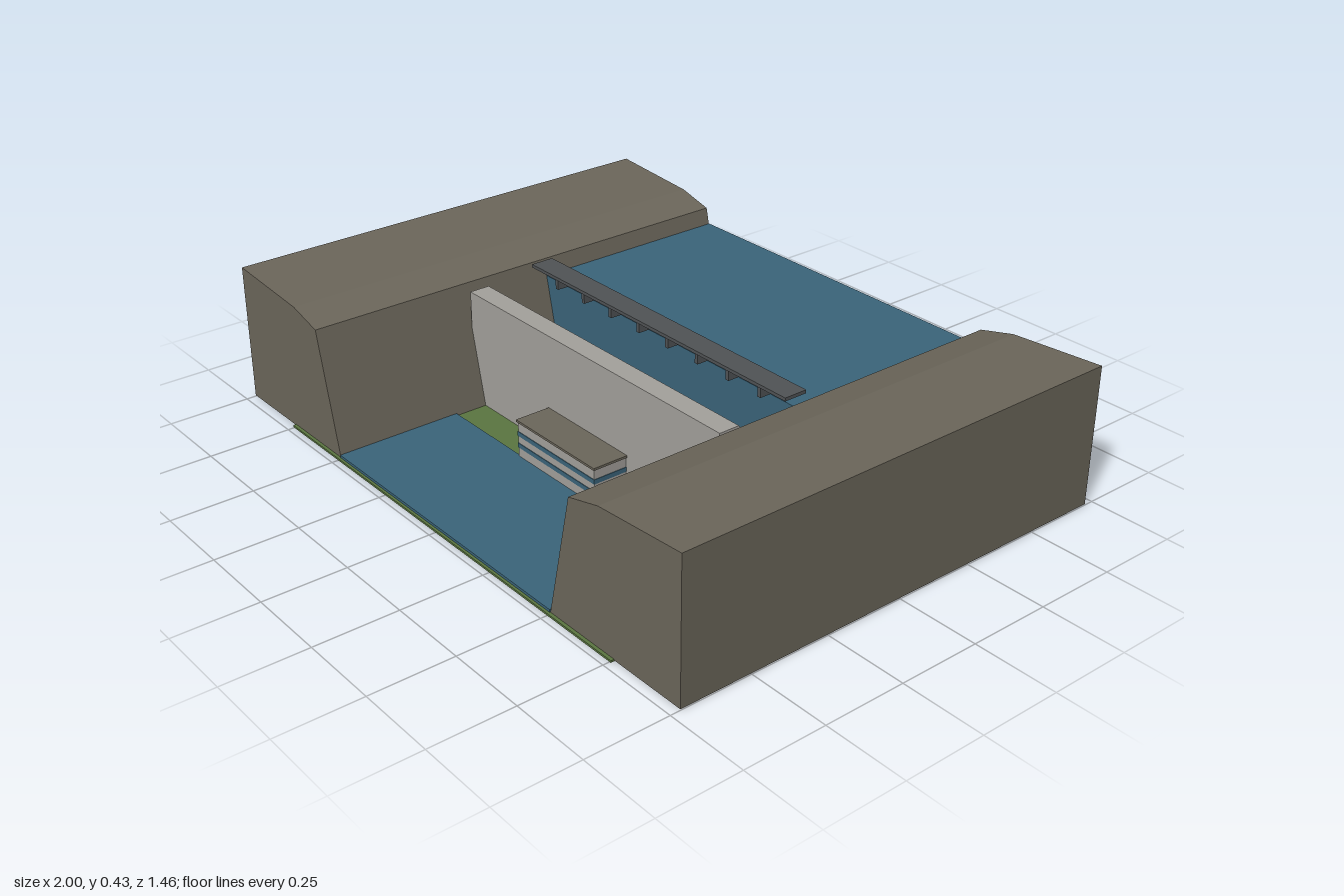
import * as THREE from 'three';

const mat = (name, color) => {
  const m = new THREE.MeshStandardMaterial({ color });
  m.name = name;
  return m;
};

export function createModel() {
  const root = new THREE.Group();
  root.name = 'dam';
  const rock = mat('rock', 0x6b665a);
  const water = mat('water', 0x3a647a);
  const grass = mat('grass', 0x5a7540);
  const concrete = mat('concrete', 0xa3a09b);
  const steel = mat('dark steel', 0x505355);

  const add = (name, geo, material, parent = root) => {
    const mesh = new THREE.Mesh(geo, material);
    mesh.name = name;
    parent.add(mesh);
    return mesh;
  };
  // box given by its lower and upper limits on each axis
  const box = (name, [x0, x1], [y0, y1], [z0, z1], material, parent) => {
    const mesh = add(name, new THREE.BoxGeometry(x1 - x0, y1 - y0, z1 - z0), material, parent);
    mesh.position.set((x0 + x1) / 2, (y0 + y1) / 2, (z0 + z1) / 2);
    return mesh;
  };
  const prism = (points, depth) => new THREE.ExtrudeGeometry(
    new THREE.Shape(points.map(([x, y]) => new THREE.Vector2(x, y))),
    { depth, bevelEnabled: false });

  // valley floor and water
  box('ground', [-0.755, 0.755], [0, 0.006], [-0.73, 0.73], grass);
  box('reservoir', [-0.577, 0.577], [0.004, 0.325], [-0.722, -0.07], water);
  box('river', [-0.5, 0.5], [0.004, 0.014], [0.325, 0.722], water);

  // valley sides
  for (const s of [1, -1]) {
    const profile = [[0.5, 0.003], [1, 0.003], [1, 0.425], [0.7, 0.405], [0.585, 0.376]];
    const bank = add(s > 0 ? 'leftBank' : 'rightBank',
      prism(profile.map(([x, y]) => [s * x, y]), 1.44), rock);
    bank.position.z = -0.72;
  }

  // dam wall: upright downstream face, sloping upstream face
  const wall = add('damWall',
    prism([[-0.22, 0.005], [0.09, 0.005], [-0.155, 0.36], [-0.22, 0.36]], 1.11), concrete);
  wall.rotation.y = Math.PI / 2;
  wall.position.x = -0.555;

  // walkway on short posts
  const walkway = new THREE.Group();
  walkway.name = 'walkway';
  root.add(walkway);
  box('walkwayDeck', [-0.555, 0.555], [0.376, 0.386], [-0.078, -0.004], steel, walkway);
  for (let i = 0; i < 8; i++) {
    const x = -0.445 + i * 0.127;
    box('walkwayPost', [x - 0.006, x + 0.006], [0.34, 0.377], [-0.068, -0.014], steel, walkway);
  }

  // powerhouse with window bands
  const house = new THREE.Group();
  house.name = 'powerhouse';
  root.add(house);
  box('powerhouseWalls', [-0.175, 0.175], [0.005, 0.125], [0.21, 0.33], concrete, house);
  box('powerhouseRoof', [-0.179, 0.179], [0.124, 0.131], [0.21, 0.334], rock, house);
  for (const y of [0.05, 0.087]) {
    box('windowBand', [-0.177, 0.177], [y - 0.007, y + 0.007], [0.215, 0.332], water, house);
  }

  return root;
}
